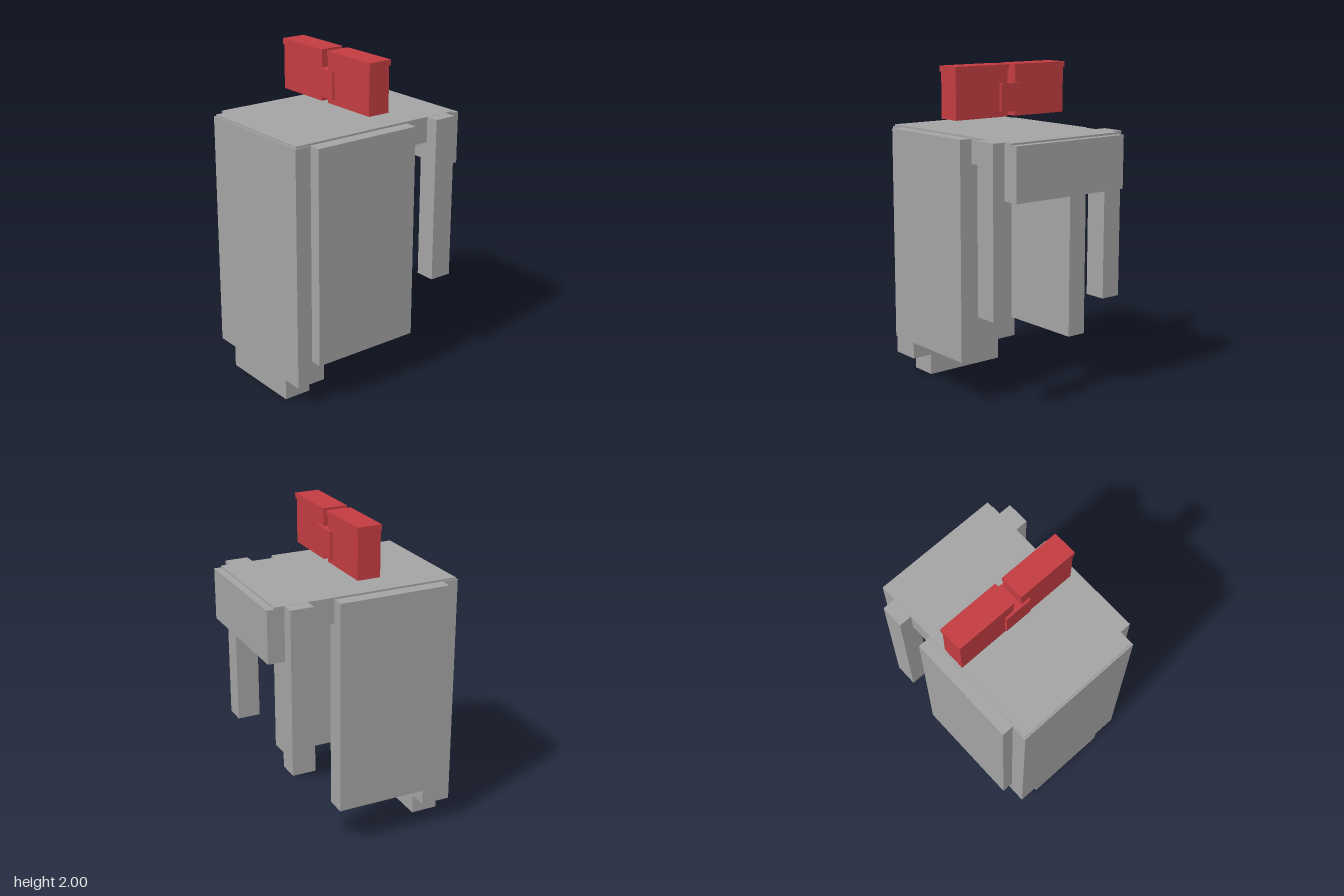
import * as THREE from 'three';

export function createModel() {
  const model = new THREE.Group();
  model.name = 'boxyFrameWithBow';

  const grey = new THREE.MeshStandardMaterial({ color: 0xa3a3a3 });
  grey.name = 'stone grey';
  const red = new THREE.MeshStandardMaterial({ color: 0xc23c41 });
  red.name = 'bow red';

  // Box given by its extents along each axis
  function box(name, material, [x0, x1], [y0, y1], [z0, z1], parent = model) {
    const mesh = new THREE.Mesh(new THREE.BoxGeometry(x1 - x0, y1 - y0, z1 - z0), material);
    mesh.position.set((x0 + x1) / 2, (y0 + y1) / 2, (z0 + z1) / 2);
    mesh.name = name;
    parent.add(mesh);
  }

  // Body: top slab, front and back panels, foot
  box('topSlab', grey, [-0.403, 0.403], [1.455, 1.611], [-0.56, 0.597]);
  box('frontPanel', grey, [-0.411, 0.411], [0.135, 1.6], [0.418, 0.606]);
  box('backPanel', grey, [-0.403, 0.403], [1.28, 1.6], [-0.605, -0.5]);
  box('foot', grey, [-0.273, 0.273], [0, 0.135], [0.427, 0.6]);

  // Mirrored side panels and rear legs
  for (const [side, s] of [['left', 1], ['right', -1]]) {
    const xs = [0.355 * s, 0.484 * s].sort((a, b) => a - b);
    box(side + 'SidePanel', grey, xs, [0.28, 1.6], [-0.195, 0.505]);
    box(side + 'RearLeg', grey, xs, [0.595, 1.61], [-0.5, -0.357]);
  }

  // Floating bow: two capped loops joined by a knot
  const bow = new THREE.Group();
  bow.name = 'bow';
  model.add(bow);
  box('leftBowLoop', red, [0.028, 0.407], [1.69, 1.966], [-0.053, 0.09], bow);
  box('leftBowCap', red, [0.022, 0.414], [1.966, 2], [-0.06, 0.094], bow);
  box('rightBowLoop', red, [-0.409, -0.031], [1.69, 1.966], [-0.053, 0.09], bow);
  box('rightBowCap', red, [-0.416, -0.026], [1.966, 2], [-0.06, 0.094], bow);
  box('bowKnot', red, [-0.09, 0.087], [1.72, 1.89], [-0.07, 0.104], bow);

  return model;
}
